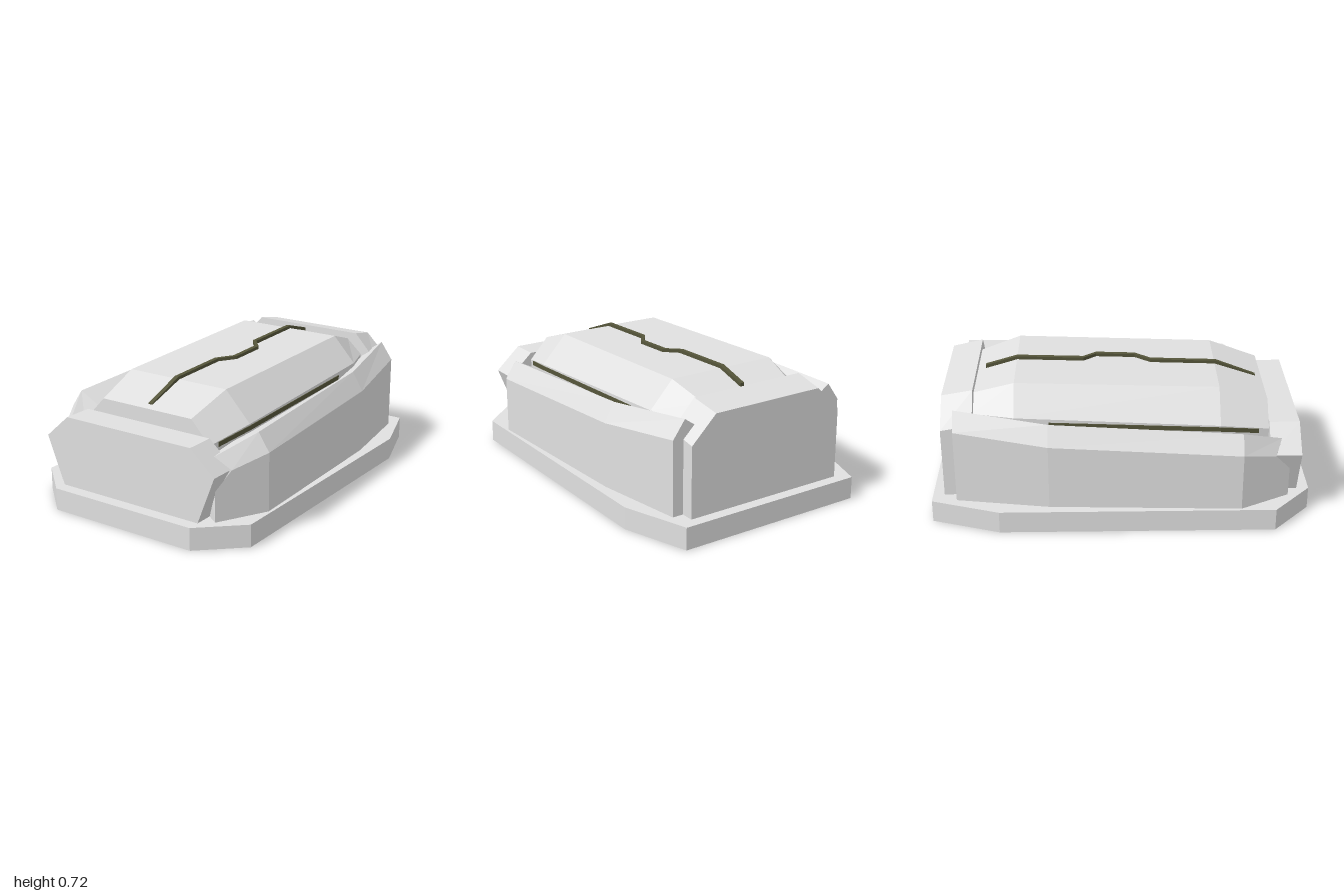
import * as THREE from 'three';

const stone = new THREE.MeshStandardMaterial({ color: 0xe0e0e0 });
stone.name = 'pale grey stone';
const dark = new THREE.MeshStandardMaterial({ color: 0x55553a });
dark.name = 'dark olive crack';

// Joins closed rings, ordered front to back and counterclockwise seen from the front
function loft(name, rings, material = stone) {
  const pos = [];
  const tri = (a, b, c) => pos.push(...a, ...b, ...c);
  const n = rings[0].length;
  for (let s = 0; s < rings.length - 1; s++) {
    for (let i = 0; i < n; i++) {
      const j = (i + 1) % n;
      const [a, b, c, d] = [rings[s][i], rings[s][j], rings[s + 1][i], rings[s + 1][j]];
      tri(a, c, d);
      tri(a, d, b);
    }
  }
  const last = rings[rings.length - 1];
  for (let i = 1; i < n - 1; i++) {
    tri(rings[0][0], rings[0][i], rings[0][i + 1]);
    tri(last[0], last[i + 1], last[i]);
  }
  const g = new THREE.BufferGeometry();
  g.setAttribute('position', new THREE.Float32BufferAttribute(pos, 3));
  g.computeVertexNormals();
  const mesh = new THREE.Mesh(g, material);
  mesh.name = name;
  return mesh;
}

const flip = (ring) => ring.map(([x, y, z]) => [-x, y, z]).reverse();
// Full symmetric ring from its right half, listed bottom to top
const whole = (half) => [...half, ...flip(half)];
// Thin rectangular ring round a path point
const ribbon = ([x, y, z], w, h) => [
  [x + w, y - h, z], [x + w, y + h, z], [x - w, y + h, z], [x - w, y - h, z]];

export function createModel() {
  const model = new THREE.Group();
  model.name = 'stoneChest';

  // Base plinth
  model.add(loft('basePlinth', [[0.43, 1], [0.65, 0.8], [0.65, -0.64], [0.53, -1]]
    .map(([x, z]) => whole([[x, 0, z], [x, 0.12, z]]))));

  // Front end slab
  model.add(loft('frontSlab', [0.935, 0.775].map((z) =>
    whole([[0.43, 0.12, z], [0.53, 0.375, z], [0.39, 0.5, z]]))));

  // Rear end slab, sloping down to the back
  model.add(loft('rearSlab', [
    whole([[0.46, 0.12, -0.775], [0.46, 0.53, -0.775], [0.33, 0.67, -0.775]]),
    whole([[0.46, 0.12, -0.94], [0.46, 0.5, -0.94], [0.32, 0.637, -0.94]]),
  ]));

  // Faceted lid body: z, shoulder x and y, top x and y
  model.add(loft('lid', [
    [0.775, 0.39, 0.46, 0.28, 0.578],
    [0.515, 0.45, 0.51, 0.305, 0.665],
    [-0.56, 0.44, 0.56, 0.31, 0.7],
    [-0.78, 0.365, 0.55, 0.275, 0.63],
  ].map(([z, sx, sy, tx, ty]) => whole([[sx, 0.12, z], [sx, sy, z], [tx, ty, z]]))));

  // Side panels: outer foot, outer wall, chamfer, ridge, inner lip, inner foot
  const panel = [
    [[0.495, 0.12, 0.88], [0.495, 0.28, 0.88], [0.538, 0.375, 0.8],
      [0.46, 0.44, 0.835], [0.39, 0.4, 0.8], [0.38, 0.12, 0.8]],
    [[0.635, 0.12, 0.62], [0.635, 0.28, 0.62], [0.635, 0.43, 0.62],
      [0.572, 0.525, 0.62], [0.42, 0.445, 0.62], [0.38, 0.12, 0.62]],
    [[0.597, 0.12, -0.38], [0.597, 0.28, -0.38], [0.597, 0.47, -0.38],
      [0.535, 0.57, -0.38], [0.44, 0.505, -0.38], [0.38, 0.12, -0.38]],
    [[0.52, 0.12, -0.87], [0.52, 0.28, -0.87], [0.52, 0.52, -0.87],
      [0.452, 0.615, -0.87], [0.36, 0.55, -0.87], [0.36, 0.12, -0.87]],
  ];
  model.add(loft('leftSidePanel', panel));
  model.add(loft('rightSidePanel', panel.map(flip)));

  // Crack along the top of the lid
  model.add(loft('topCrack', [
    [0, 0.587, 0.74], [0, 0.672, 0.52], [0, 0.684, 0.165], [0.062, 0.687, 0.08],
    [0.062, 0.694, -0.13], [0, 0.697, -0.2], [0, 0.708, -0.56], [0, 0.658, -0.73],
  ].map((p) => ribbon(p, 0.012, 0.009)), dark));

  // Dark seams low in the grooves beside the lid
  const seam = [[0.404, 0.455, 0.72], [0.451, 0.49, 0.515], [0.443, 0.522, -0.38]]
    .map((p) => ribbon(p, 0.003, 0.012));
  model.add(loft('leftSeam', seam, dark));
  model.add(loft('rightSeam', seam.map(flip), dark));

  return model;
}
